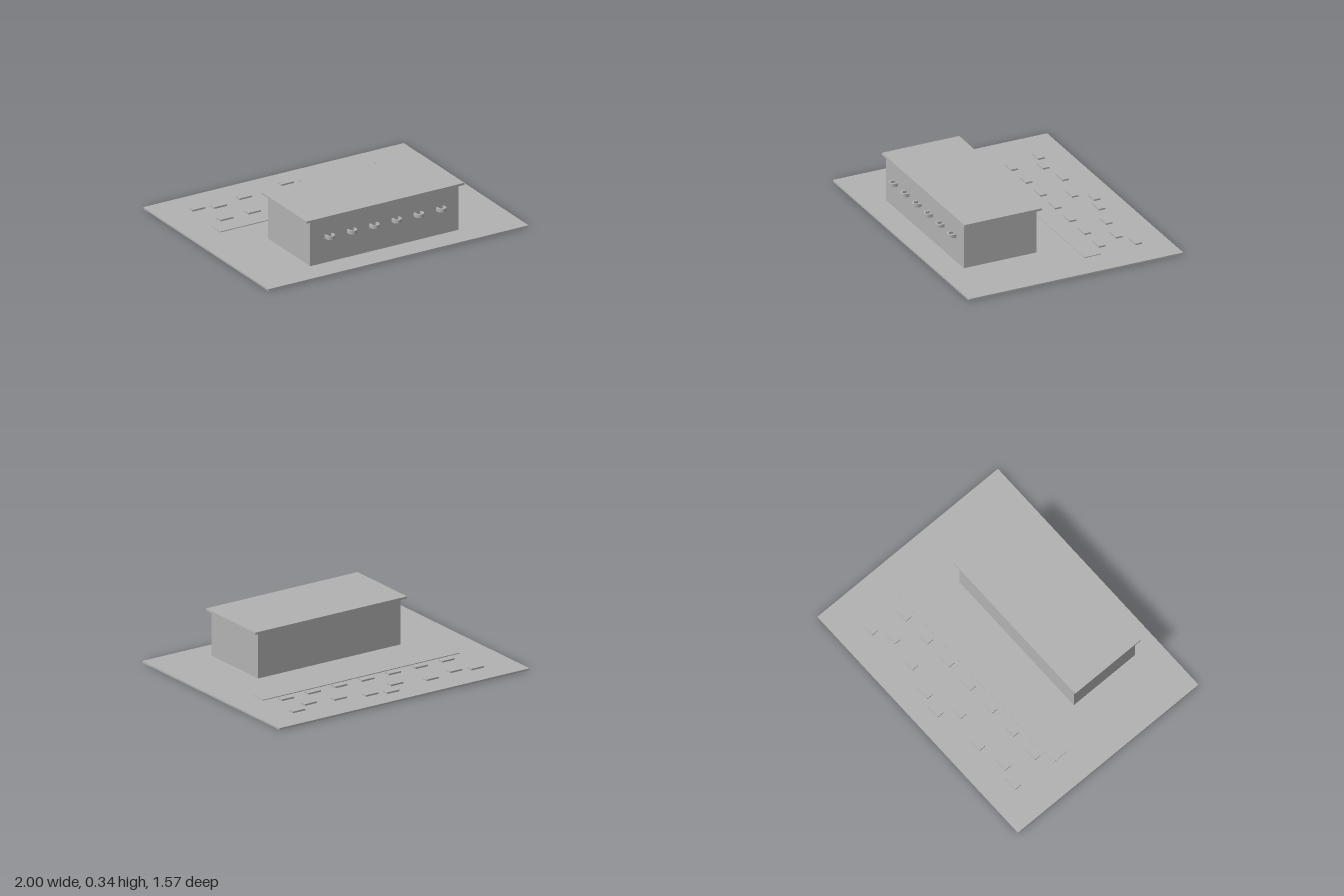
import * as THREE from 'three';

const concrete = new THREE.MeshStandardMaterial({ color: 0xb2b2b2 });
concrete.name = 'concrete grey';

// Box given by its x, y and z ranges
function block(name, [x0, x1], [y0, y1], [z0, z1]) {
  const mesh = new THREE.Mesh(new THREE.BoxGeometry(x1 - x0, y1 - y0, z1 - z0), concrete);
  mesh.position.set((x0 + x1) / 2, (y0 + y1) / 2, (z0 + z1) / 2);
  mesh.name = name;
  return mesh;
}

// Flat U-shaped handle whose legs meet the wall and whose bend points outward
function handleGeometry() {
  const outer = 0.032, inner = 0.018, leg = 0.02, height = 0.024;
  const shape = new THREE.Shape();
  shape.moveTo(outer, 0);
  shape.lineTo(outer, leg);
  shape.absarc(0, leg, outer, 0, Math.PI, false);
  shape.lineTo(-outer, 0);
  shape.lineTo(-inner, 0);
  shape.lineTo(-inner, leg);
  shape.absarc(0, leg, inner, Math.PI, 0, true);
  shape.lineTo(inner, 0);
  const geometry = new THREE.ExtrudeGeometry(shape, { depth: height, bevelEnabled: false, curveSegments: 4 });
  return geometry.rotateX(Math.PI / 2).translate(0, height / 2, 0);
}

export function createModel() {
  const model = new THREE.Group();
  model.name = 'building with car park';
  const ground = 0.012;

  // Site and building
  model.add(
    block('ground', [-1, 1], [0, ground], [-0.785, 0.785]),
    block('walls', [-0.57, 0.57], [ground, 0.33], [0.075, 0.608]),
    block('roof', [-0.607, 0.607], [0.33, 0.345], [0.055, 0.622]),
    block('path', [-0.785, 0.785], [ground, 0.017], [-0.29, -0.17])
  );

  // Handles along the front wall
  const handles = new THREE.Group();
  handles.name = 'wallHandles';
  const geometry = handleGeometry();
  for (let i = 0; i < 6; i++) {
    const handle = new THREE.Mesh(geometry, concrete);
    handle.name = 'wallHandle';
    handle.position.set((i - 2.5) * 0.171, 0.2, 0.607);
    handles.add(handle);
  }
  model.add(handles);

  // Low slabs: a straight row and a scattered group behind it
  const slabs = new THREE.Group();
  slabs.name = 'slabs';
  const spots = [
    [-0.714, -0.577], [-0.57, -0.54], [-0.356, -0.577], [-0.107, -0.523], [0, -0.63],
    [0.142, -0.594], [0.356, -0.54], [0.57, -0.505], [0.714, -0.577],
  ];
  for (let i = -3; i <= 3; i++) spots.push([i * 0.214, -0.345]);
  for (const [x, z] of spots) {
    slabs.add(block('slab', [x - 0.049, x + 0.049], [ground, 0.023], [z - 0.024, z + 0.024]));
  }
  model.add(slabs);

  return model;
}
